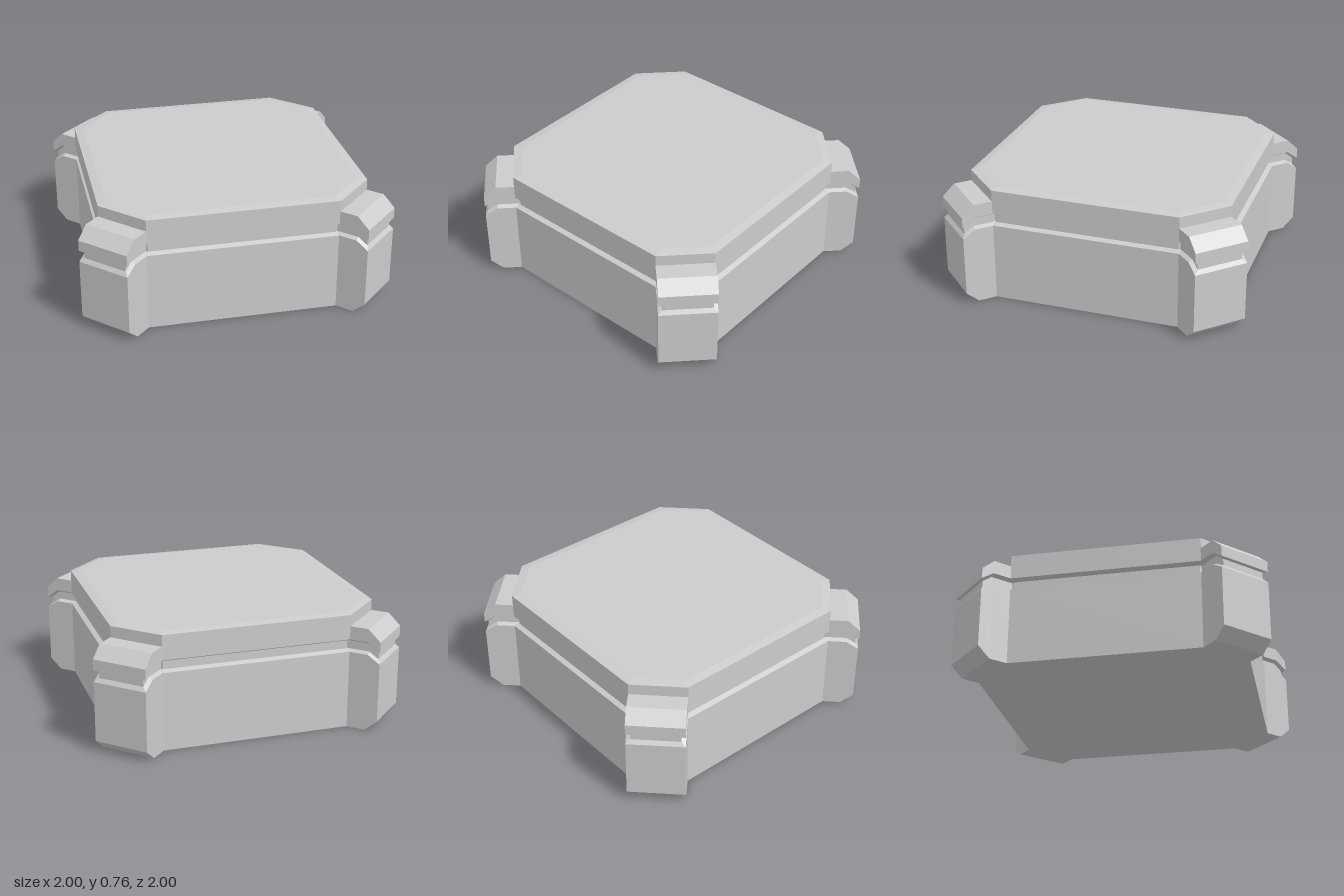
import * as THREE from 'three';

const material = new THREE.MeshStandardMaterial({ color: 0xcccccc, flatShading: true });

// Joins stacked rings of [x, y, z] points with flat sides and closes both ends
function loft(rings) {
  const out = [];
  const n = rings[0].length;
  const quad = (a, b, c, d) => out.push(...a, ...b, ...c, ...a, ...c, ...d);
  for (let k = 0; k < rings.length - 1; k++) {
    const lo = rings[k], hi = rings[k + 1];
    for (let i = 0; i < n; i++) {
      const j = (i + 1) % n;
      quad(lo[i], hi[i], hi[j], lo[j]);
    }
  }
  const bottom = rings[0], top = rings[rings.length - 1];
  for (let i = 0; i < n / 2 - 1; i++) {
    const ids = [i, i + 1, n - 2 - i, n - 1 - i];
    quad(...ids.map((q) => bottom[q]));
    quad(...ids.reverse().map((q) => top[q]));
  }
  const geometry = new THREE.BufferGeometry();
  geometry.setAttribute('position', new THREE.Float32BufferAttribute(out, 3));
  geometry.computeVertexNormals();
  return geometry;
}

// Square with cut corners, moved inwards by an even distance
function octagon(y, inset) {
  const h = 0.858 - inset;
  const c = 0.605 - inset * Math.tan(Math.PI / 8);
  return [[h, -c], [h, c], [c, h], [-c, h], [-h, c], [-h, -c], [-c, -h], [c, -h]]
    .map(([x, z]) => [x, y, z]);
}

// Corner block slice: level near the body, bent up or down at its outer end
function bentSlice(w, outer, yFlat, yOuter) {
  const inner = 0.97, bend = 1.153;
  return [
    [inner, yFlat, -w], [bend, yFlat, -w], [outer, yOuter, -w],
    [outer, yOuter, w], [bend, yFlat, w], [inner, yFlat, w],
  ];
}

export function createModel() {
  const group = new THREE.Group();

  // Body with a groove between base and lid, and a shallow bevel on top
  const body = new THREE.Mesh(loft([
    octagon(0, 0), octagon(0.507, 0),
    octagon(0.52, 0.03), octagon(0.573, 0.03),
    octagon(0.588, 0), octagon(0.748, 0),
    octagon(0.757, 0.055),
  ]), material);
  body.name = 'body';
  group.add(body);

  // Corner blocks, with the groove carried around them
  const blockGeometry = loft([
    bentSlice(0.18, 1.234, 0, 0.07),
    bentSlice(0.18, 1.234, 0.507, 0.455),
    bentSlice(0.153, 1.215, 0.52, 0.48),
    bentSlice(0.153, 1.215, 0.573, 0.525),
    bentSlice(0.18, 1.234, 0.588, 0.53),
    bentSlice(0.18, 1.234, 0.675, 0.6),
  ]);
  ['frontLeft', 'backLeft', 'backRight', 'frontRight'].forEach((corner, i) => {
    const block = new THREE.Mesh(blockGeometry, material);
    block.name = corner + 'CornerBlock';
    block.rotation.y = -Math.PI / 4 + i * Math.PI / 2;
    group.add(block);
  });

  return group;
}
